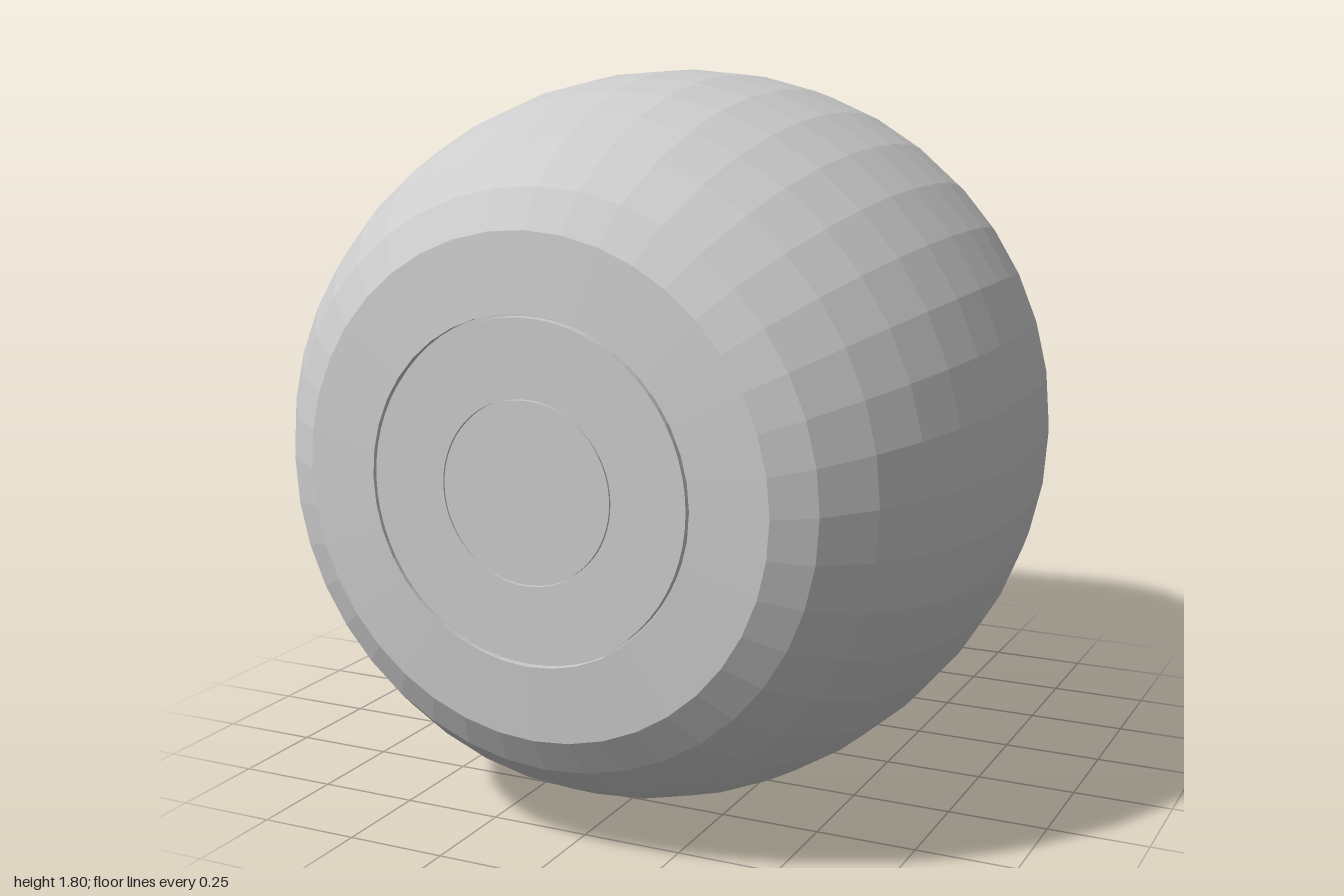
import * as THREE from 'three';

const grey = new THREE.MeshStandardMaterial({ color: 0xcccccc, flatShading: true });
grey.name = 'light grey';

function add(parent, name, geometry) {
  const mesh = new THREE.Mesh(geometry, grey);
  mesh.name = name;
  parent.add(mesh);
  return mesh;
}

// Surface of revolution around z; points are [radius, z], rising z faces outward
function turned(points, segments) {
  const g = new THREE.LatheGeometry(points.map(([r, z]) => new THREE.Vector2(r, z)), segments);
  return g.rotateX(Math.PI / 2);
}

// Rounded square outline
function roundedSquare(path, h, c) {
  const k = h - c;
  path.moveTo(h, -k);
  path.lineTo(h, k);
  path.absarc(k, k, c, 0, Math.PI / 2);
  path.absarc(-k, k, c, Math.PI / 2, Math.PI);
  path.absarc(-k, -k, c, Math.PI, Math.PI * 1.5);
  path.absarc(k, -k, c, Math.PI * 1.5, Math.PI * 2);
  return path;
}

function plate(shape, hole, z, depth, curveSegments) {
  shape.holes.push(hole);
  return new THREE.ExtrudeGeometry(shape, { depth, bevelEnabled: false, curveSegments }).translate(0, 0, z);
}

export function createModel() {
  const model = new THREE.Group();
  model.name = 'module';
  const axis = new THREE.Group();
  axis.name = 'cabin';
  axis.position.y = 0.9;
  model.add(axis);

  // Hull: rear opening, barrel, grooved nose
  const barrel = [
    [0.57, -0.645], [0.66, -0.6], [0.735, -0.5], [0.785, -0.39], [0.832, -0.26], [0.868, -0.13],
    [0.89, 0], [0.9, 0.13], [0.9, 0.27], [0.889, 0.41], [0.863, 0.55], [0.82, 0.685],
    [0.76, 0.81], [0.67, 0.93], [0.58, 0.987]];
  add(axis, 'hull', turned([[0.3, -0.655], [0.42, -0.655], ...barrel, [0.4, 1]], 40));
  add(axis, 'nosePlate', turned([
    [0.4, 1], [0.4, 0.98], [0.392, 0.98], [0.392, 1], [0.212, 1], [0.212, 0.99],
    [0.209, 0.99], [0.209, 1], [0, 1]], 64));

  // Inner wall of the cabin, facing inward
  const lining = barrel.map(([r, z]) => [r - 0.04, z * 0.95]).reverse();
  add(axis, 'cabinLining', turned([[0, 0.94], ...lining, [0.3, -0.61], [0.3, -0.655]], 40));

  // Docking collar
  add(axis, 'collar', turned([
    [0.505, -0.9], [0.53, -0.75], [0.41, -0.65], [0.3, -0.65],
    [0.32, -0.68], [0.46, -0.76], [0.46, -0.89]], 64));
  const disc = new THREE.Shape().absarc(0, 0, 0.505, 0, Math.PI * 2);
  add(axis, 'collarPlate', plate(disc, roundedSquare(new THREE.Path(), 0.318, 0.16), -0.9, 0.015, 16));

  // Ring around the cabin opening
  add(axis, 'openingRing', new THREE.TorusGeometry(0.3, 0.015, 8, 40).translate(0, 0, -0.665));

  // Hatch frame and its latches
  add(axis, 'hatchFrame', plate(
    roundedSquare(new THREE.Shape(), 0.338, 0.17),
    roundedSquare(new THREE.Path(), 0.316, 0.155), -1, 0.1, 4));
  for (let side = 0; side < 4; side++) {
    const latches = new THREE.Group();
    latches.name = 'latches';
    latches.rotation.z = side * Math.PI / 2;
    axis.add(latches);
    for (const s of [-1, 1]) {
      add(latches, 'latch', new THREE.BoxGeometry(0.05, 0.03, 0.076))
        .position.set(0.327, s * 0.135, -0.95);
    }
  }

  // A rib lying along a cone, placed by angle from the top
  function rib(name, degrees, r, z, tilt, size) {
    const pivot = new THREE.Group();
    pivot.name = name;
    pivot.rotation.z = -THREE.MathUtils.degToRad(degrees);
    axis.add(pivot);
    const mesh = add(pivot, name, new THREE.BoxGeometry(...size));
    mesh.position.set(0, r, z);
    mesh.rotation.x = tilt;
  }

  // Paired strips on the outside of the collar
  const outerTilt = Math.atan2(0.12, 0.1);
  for (const a of [-14, 48, 105, 150, 196, 250, 306]) {
    for (const s of [-5, 5]) rib('outerStrip', a + s, 0.47, -0.7, outerTilt, [0.035, 0.016, 0.125]);
  }

  // Radial ribs inside the collar
  for (let i = 0; i < 28; i++) {
    rib('innerRib', i * 360 / 28, 0.39, -0.73, Math.atan2(0.14, 0.08), [0.022, 0.03, 0.14]);
  }

  // Latch motors inside the collar
  for (const s of [-1, 1]) {
    add(axis, 'motor', new THREE.CylinderGeometry(0.035, 0.035, 0.13, 16).rotateX(Math.PI / 2))
      .position.set(s * 0.36, 0.04, -0.79);
    add(axis, 'motorArm', new THREE.CylinderGeometry(0.022, 0.022, 0.12, 12).rotateZ(Math.PI / 2))
      .position.set(s * 0.4, 0.04, -0.8);
  }
  return model;
}
